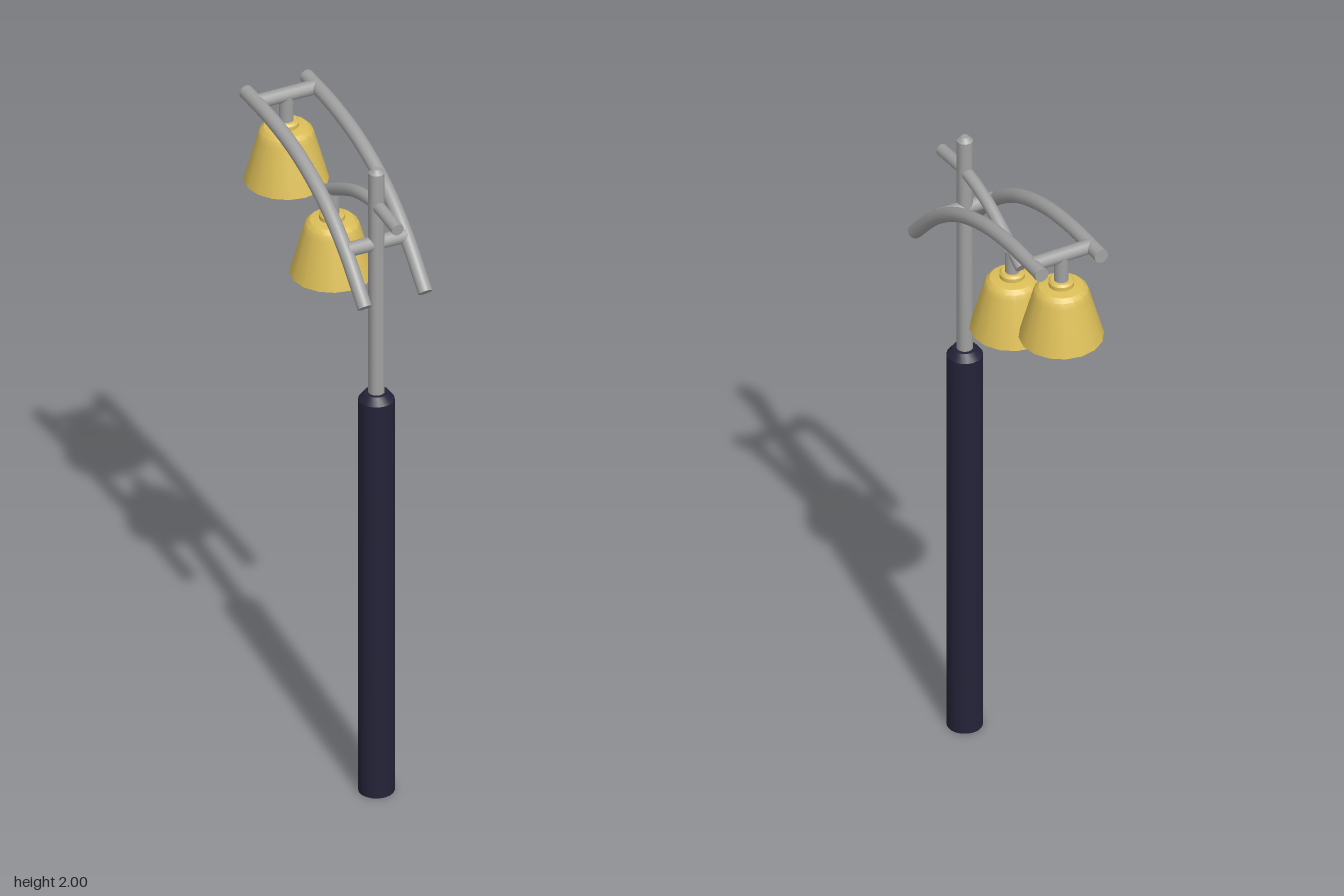
import * as THREE from 'three';
import { toCreasedNormals, mergeGeometries } from 'three/addons/utils/BufferGeometryUtils.js';

const mat = (name, color) => new THREE.MeshStandardMaterial({ name, color });

export function createModel() {
  const metal = mat('grey metal', 0xa0a0a0);
  const navy = mat('dark navy', 0x232338);
  const gold = mat('gold', 0xdcbe58);
  const root = new THREE.Group();
  root.name = 'streetLamp';
  const poleZ = 0.27;

  const add = (parent, name, geometry, material, x = 0, y = 0, z = 0) => {
    const mesh = new THREE.Mesh(geometry, material);
    mesh.name = name;
    mesh.position.set(x, y, z);
    parent.add(mesh);
    return mesh;
  };
  const lathe = (points, sides) => toCreasedNormals(
    new THREE.LatheGeometry(points.map(([r, y]) => new THREE.Vector2(r, y)), sides), 0.55);

  // Curved bar through [z, y] points, with both ends capped
  const bar = (points, radius) => {
    const curve = new THREE.CatmullRomCurve3(points.map(([z, y]) => new THREE.Vector3(0, y, z)));
    const parts = [new THREE.TubeGeometry(curve, 20, radius, 14)];
    for (const [t, sign] of [[0, -1], [1, 1]]) {
      const cap = new THREE.CircleGeometry(radius, 14);
      const dir = curve.getTangentAt(t).multiplyScalar(sign);
      cap.applyQuaternion(new THREE.Quaternion().setFromUnitVectors(new THREE.Vector3(0, 0, 1), dir));
      const p = curve.getPointAt(t);
      cap.translate(p.x, p.y, p.z);
      parts.push(cap);
    }
    return mergeGeometries(parts);
  };

  // Post: thick sleeve, grey underside, thin upper mast with a bevelled tip
  add(root, 'postSleeve', lathe([[0.051, 0], [0.051, 1.26], [0.034, 1.282], [0, 1.282]], 18), navy, 0, 0, poleZ);
  const foot = add(root, 'postUnderside', new THREE.CircleGeometry(0.051, 18), metal, 0, 0, poleZ);
  foot.rotation.x = Math.PI / 2;
  add(root, 'mast', lathe([[0.023, 1.27], [0.023, 1.988], [0.011, 2], [0, 2]], 16), metal, 0, 0, poleZ);

  // Twin upper arms joined by two crossbars
  const twin = bar([[0.385, 1.637], [0.27, 1.755], [0.14, 1.848], [-0.02, 1.912], [-0.18, 1.94], [-0.345, 1.946]], 0.021);
  for (const [name, x] of [['leftArm', 0.094], ['rightArm', -0.094]]) add(root, name, twin, metal, x);
  for (const [name, y, z] of [['mastCrossbar', 1.76, 0.267], ['frontCrossbar', 1.945, -0.285]]) {
    add(root, name, new THREE.CylinderGeometry(0.021, 0.021, 0.18, 14), metal, 0, y, z).rotation.z = Math.PI / 2;
  }

  // Single lower arm
  add(root, 'lowerArm', bar([[0.402, 1.872], [0.26, 1.883], [0.15, 1.862], [0.04, 1.812], [-0.056, 1.757]], 0.018), metal);

  // Hollow bell shades, each hanging from a short stem
  const shade = lathe([
    [0, 0.14], [0.058, 0.14], [0.07, 0.128], [0.109, 0],
    [0.119, 0], [0.081, 0.138], [0.075, 0.157], [0.063, 0.168], [0.036, 0.172],
    [0.036, 0.184], [0.03, 0.19], [0, 0.19],
  ], 16);
  for (const [name, y, z, stem] of [['lowerLamp', 1.525, -0.003, 0.075], ['upperLamp', 1.674, -0.285, 0.085]]) {
    const lamp = new THREE.Group();
    lamp.name = name;
    lamp.position.set(0, y, z);
    root.add(lamp);
    add(lamp, 'shade', shade, gold);
    add(lamp, 'stem', new THREE.CylinderGeometry(0.021, 0.021, stem, 14), metal, 0, 0.185 + stem / 2, 0);
  }
  return root;
}
